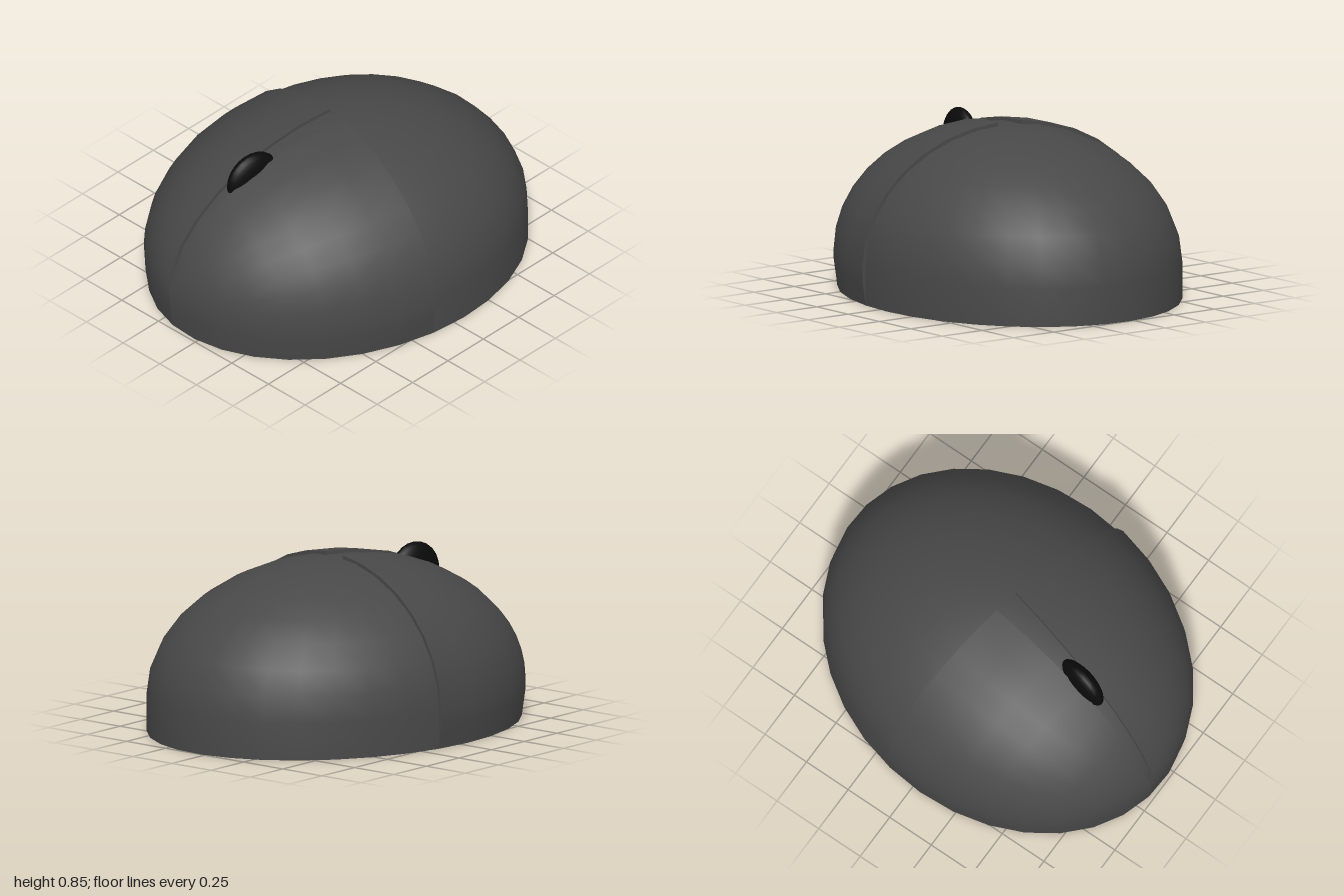
import * as THREE from 'three';
import { toCreasedNormals } from 'three/addons/utils/BufferGeometryUtils.js';

// Half-ellipsoid dome on a short upright skirt
const A = 0.998, B = 0.8, H = 0.648, SKIRT = 0.187;
const STEPS = 8;
const RAISE = 0.017;

const bodyMat = new THREE.MeshStandardMaterial({ color: 0x484848 });
const wheelMat = new THREE.MeshStandardMaterial({ color: 0x0a0a0a });

// Point on the dome: s runs from the cross seam to the nose, t from the centre line to the rim
function domePoint(s, t, off) {
  return new THREE.Vector3(
    -(A + off) * Math.sin(s),
    SKIRT + (H + off) * Math.cos(s) * Math.cos(t),
    (B + off) * Math.cos(s) * Math.sin(t)
  );
}

// Raised button shell with walls along the seam and the tapering wheel groove
function buttonGeometry(side) {
  const rows = [];
  for (let i = -1; i <= STEPS; i++) {
    const s = Math.max(i, 0) / STEPS * Math.PI / 2;
    const off = i < 0 ? -0.005 : RAISE;
    const halfGroove = THREE.MathUtils.lerp(0.064, 0.016, Math.sin(s));
    const t0 = Math.asin(Math.min(1, halfGroove / Math.max(B * Math.cos(s), 1e-4)));
    const row = [domePoint(s, t0, -0.005)];
    for (let j = 0; j <= STEPS; j++) {
      row.push(domePoint(s, t0 + (Math.PI / 2 - t0) * j / STEPS, off));
    }
    // skirt, merging into the base at the bottom
    row.push(domePoint(s, Math.PI / 2, off).setY(0.13));
    row.push(domePoint(s, Math.PI / 2, 0).setY(0.005));
    row.forEach(p => { p.z *= side; });
    rows.push(row);
  }
  const pos = [];
  const tri = (a, b, c) => (side > 0 ? [a, b, c] : [a, c, b]).forEach(p => pos.push(p.x, p.y, p.z));
  for (let i = 0; i < rows.length - 1; i++) {
    for (let j = 0; j < rows[i].length - 1; j++) {
      const a = rows[i][j], b = rows[i + 1][j], c = rows[i + 1][j + 1], d = rows[i][j + 1];
      tri(a, b, c);
      tri(a, c, d);
    }
  }
  const geo = new THREE.BufferGeometry();
  geo.setAttribute('position', new THREE.Float32BufferAttribute(pos, 3));
  return toCreasedNormals(geo, 0.6);
}

export function createModel() {
  const group = new THREE.Group();
  group.name = 'computerMouse';
  const add = (name, geo, mat) => {
    const mesh = new THREE.Mesh(geo, mat);
    mesh.name = name;
    group.add(mesh);
    return mesh;
  };

  // Palm body with a flat underside
  const profile = [new THREE.Vector2(0, 0), new THREE.Vector2(1, 0)];
  for (let i = 0; i <= STEPS; i++) {
    const t = i / STEPS * Math.PI / 2;
    profile.push(new THREE.Vector2(i === STEPS ? 0 : Math.cos(t), SKIRT + H * Math.sin(t)));
  }
  const body = new THREE.LatheGeometry(profile, STEPS * 4);
  body.scale(A, 1, B);
  add('palmBody', toCreasedNormals(body, 0.6), bodyMat);

  // Two click buttons
  add('leftButton', buttonGeometry(1), bodyMat);
  add('rightButton', buttonGeometry(-1), bodyMat);

  // Scroll wheel, rounded across its width
  const wheel = new THREE.SphereGeometry(1, 24, 16);
  wheel.rotateX(Math.PI / 2);
  wheel.scale(0.15, 0.15, 0.06);
  add('scrollWheel', wheel, wheelMat).position.set(-0.517, 0.686, 0.003);

  // The mouse sits slightly turned
  group.rotation.y = -0.178;
  group.position.x = 0.0075;
  const root = new THREE.Group();
  root.name = 'model';
  root.add(group);
  return root;
}
